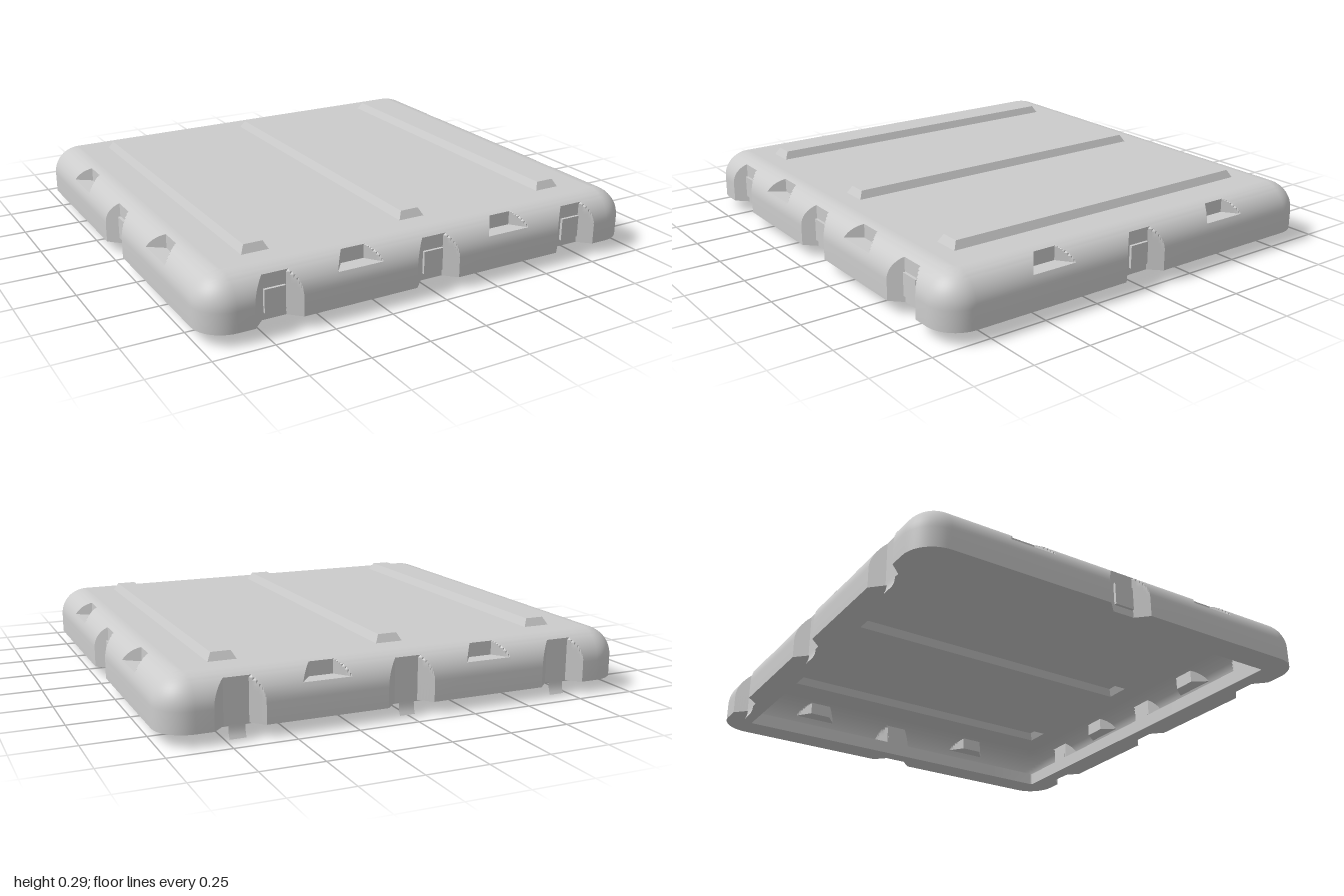
import * as THREE from 'three';
import { toCreasedNormals } from 'three/addons/utils/BufferGeometryUtils.js';

const HALF_X = 1, HALF_Z = 0.94, CORNER = 0.13;
const BOTTOM = 0.05, ROOF = 0.255, ROUND = 0.12;
const LIP_INSET = 0.12, LIP_TOP = 0.11, POCKET_FLOOR = 0.19;
const LATCH_X = [-0.7, 0, 0.7];
const NOTCH = { outer: 0.1, inner: 0.05, depth: 0.05 };
const POCKET = { outer: 0.11, inner: 0.05, depth: 0.08, pocket: true };

// shoulder angles, with stops at the pocket floor and at the top of each cut
const stops = [0, Math.asin((POCKET_FLOOR - ROOF + ROUND) / ROUND), Math.acos(1 - NOTCH.depth / ROUND),
  Math.acos(1 - POCKET.depth / ROUND), Math.PI / 2];
const angles = [0];
for (let s = 1; s < stops.length; s++)
  for (let k = 1; k <= 4; k++) angles.push(stops[s - 1] + (stops[s] - stops[s - 1]) * k / 4);
const insetAt = a => ROUND * (1 - Math.cos(a));

const place = (kind, centres) => centres.map(c => ({ ...kind, c }));
const longCuts = [...place(NOTCH, LATCH_X), ...place(POCKET, [-0.35, 0.35])];
const shortCuts = [...place(NOTCH, [0]), ...place(POCKET, [-0.45, 0.45])];

// positions along a side where the outline needs a point
function samples(cuts) {
  const ts = [];
  for (const f of cuts)
    for (const a of angles) {
      const d = insetAt(a);
      if (d > f.depth + 1e-6) continue;
      const w = f.outer - (f.outer - f.inner) * d / f.depth;
      ts.push(f.c - w, f.c + w);
    }
  return ts.sort((p, q) => p - q);
}
const sides = [0, 1, 2, 3].map(i => {
  const cuts = i % 2 ? shortCuts : longCuts;
  return { angle: i * Math.PI / 2, cuts, ts: samples(cuts),
    half: i % 2 ? HALF_Z : HALF_X, out: i % 2 ? HALF_X : HALF_Z };
});

// one horizontal outline of the lid
function outline(y, inset, notches, pockets) {
  const pts = [];
  for (const { angle, cuts, ts, half, out } of sides) {
    const s = Math.sin(angle), c = Math.cos(angle);
    const add = (t, n) => pts.push(new THREE.Vector3(c * t + s * n, y, -s * t + c * n));
    for (const t of ts) {
      let d = inset;
      for (const f of cuts) {
        if (!(f.pocket ? pockets : notches)) continue;
        const u = (f.outer - Math.abs(t - f.c)) / (f.outer - f.inner);
        d = Math.max(d, THREE.MathUtils.clamp(u, 0, 1) * f.depth);
      }
      add(t, out - d);
    }
    for (let j = 0; j <= 10; j++) {
      const a = j / 10 * Math.PI / 2, r = CORNER - inset;
      add(half - CORNER + r * Math.sin(a), out - CORNER + r * Math.cos(a));
    }
  }
  return pts;
}

function loft(loops) {
  const pos = [];
  const tri = (a, b, c) => {
    const n = b.clone().sub(a).cross(c.clone().sub(a));
    if (n.length() > 1e-9) for (const p of [a, b, c]) pos.push(p.x, p.y, p.z);
  };
  for (let k = 0; k + 1 < loops.length; k++) {
    const a = loops[k], b = loops[k + 1], n = a.length;
    for (let i = 0; i < n; i++) {
      const j = (i + 1) % n;
      tri(a[i], a[j], b[j]);
      tri(a[i], b[j], b[i]);
    }
  }
  const g = new THREE.BufferGeometry();
  g.setAttribute('position', new THREE.Float32BufferAttribute(pos, 3));
  return toCreasedNormals(g, 0.5);
}

// open-bottomed rib with sloped sides and ends
function ribGeometry(w, h, l) {
  const g = new THREE.BoxGeometry(w, h, l);
  const index = Array.from(g.index.array);
  index.splice(18, 6);
  g.setIndex(index);
  const p = g.attributes.position;
  for (let i = 0; i < p.count; i++)
    if (p.getY(i) > 0) {
      p.setX(i, p.getX(i) * 0.7);
      p.setZ(i, p.getZ(i) - Math.sign(p.getZ(i)) * 0.018);
    }
  const flat = g.toNonIndexed();
  flat.computeVertexNormals();
  return flat;
}

export function createModel() {
  const group = new THREE.Group();
  const mat = new THREE.MeshStandardMaterial({ color: 0xcccccc, side: THREE.DoubleSide });
  const add = (name, geo, x = 0, y = 0, z = 0, turn = 0) => {
    const m = new THREE.Mesh(geo, mat);
    m.name = name;
    m.position.set(x, y, z);
    m.rotation.y = turn;
    group.add(m);
    return m;
  };

  // inner lip, flat rim, wall and rounded shoulder
  const loops = [outline(LIP_TOP, LIP_INSET), outline(BOTTOM, LIP_INSET), outline(BOTTOM, 0, true)];
  angles.forEach((a, i) => {
    const y = ROOF - ROUND + ROUND * Math.sin(a);
    if (i <= 4) loops.push(outline(y, insetAt(a), true, false));
    if (i >= 4) loops.push(outline(y, insetAt(a), true, true));
  });
  add('lidShell', loft(loops));

  // roof panel, open beneath the hollow ribs
  const ribW = 0.115, ribL = 1.48, ribH = 0.032;
  const roof = new THREE.Shape(loops[loops.length - 1].map(p => new THREE.Vector2(p.x, -p.z)));
  for (const x of LATCH_X) {
    const w = ribW / 2, l = ribL / 2;
    roof.holes.push(new THREE.Path([[-w, -l], [-w, l], [w, l], [w, -l]]
      .map(([a, b]) => new THREE.Vector2(x + a, b))));
  }
  add('roofPanel', new THREE.ShapeGeometry(roof).rotateX(-Math.PI / 2), 0, ROOF, 0);
  const rib = ribGeometry(ribW, ribH, ribL);
  for (const x of LATCH_X) add('roofRib', rib, x, ROOF + ribH / 2, 0);

  // latch plates on the front and sides
  const plate = new THREE.BoxGeometry(0.088, 0.095, 0.014);
  const plateInset = NOTCH.depth - 0.005;
  for (const x of LATCH_X) add('latchPlate', plate, x, 0.128, HALF_Z - plateInset);
  for (const s of [-1, 1]) add('sideLatchPlate', plate, s * (HALF_X - plateInset), 0.128, 0, Math.PI / 2);

  // curled tabs hanging from the back
  const tab = new THREE.PlaneGeometry(0.066, 0.11, 1, 10);
  const p = tab.attributes.position;
  for (let i = 0; i < p.count; i++) {
    const drop = Math.max(0, -p.getY(i)) / 0.055;
    p.setZ(i, -0.012 * drop ** 3);
  }
  tab.computeVertexNormals();
  for (const x of LATCH_X) add('hingeTab', tab, x, 0.055, -HALF_Z + NOTCH.depth - 0.004);

  return group;
}
